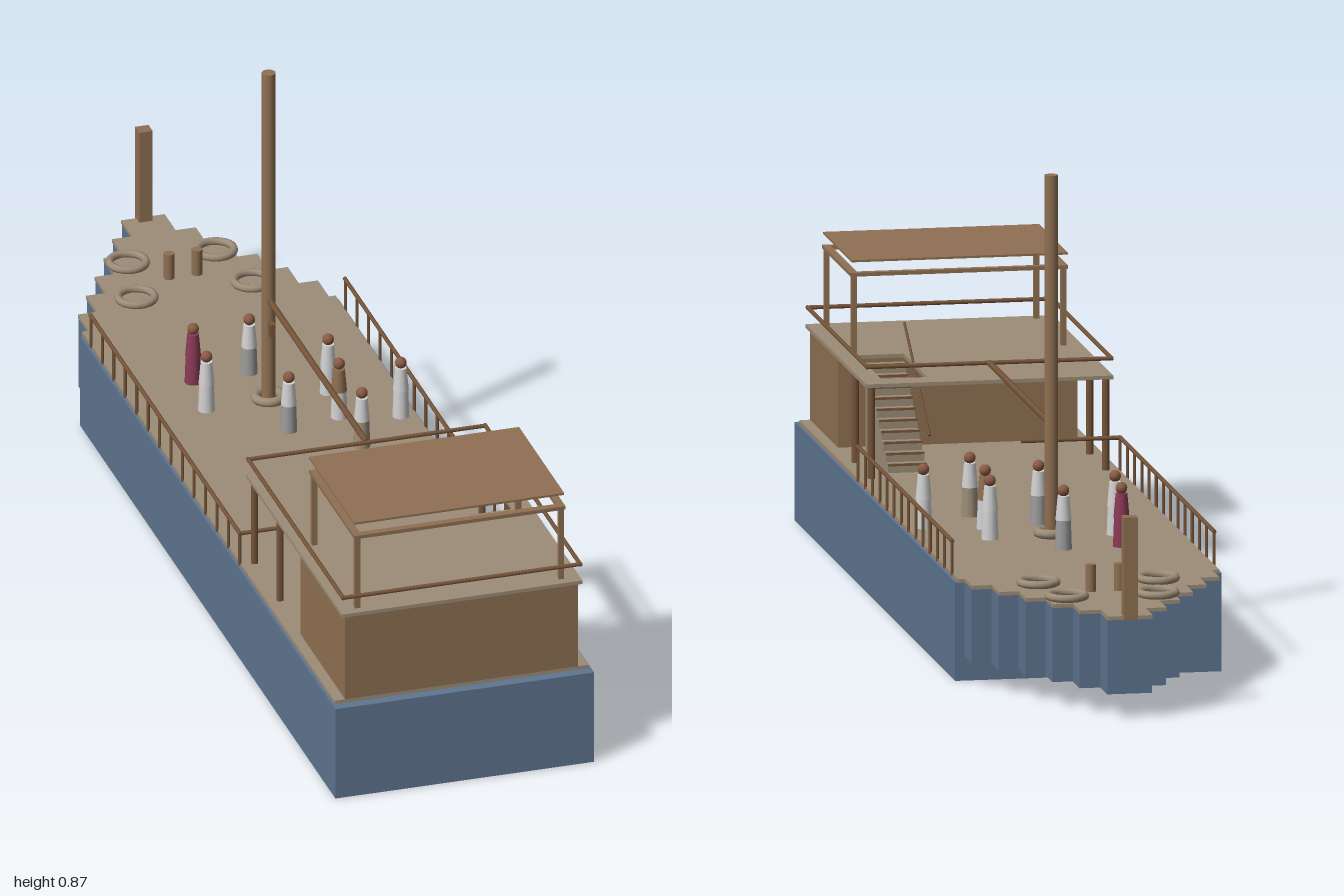
import * as THREE from 'three';

const mat = (name, color) => {
  const m = new THREE.MeshStandardMaterial({ color });
  m.name = name;
  return m;
};

export function createModel() {
  const root = new THREE.Group();
  root.name = 'boat';
  const hullBlue = mat('hull blue', 0x5f7590);
  const deckTan = mat('deck tan', 0x9d8d78);
  const wood = mat('wood brown', 0x8f7052);
  const railWood = mat('rail brown', 0x765539);
  const cloth = mat('pale cloth', 0xd2d2d2);
  const grey = mat('grey cloth', 0x9c9c9c);
  const maroon = mat('maroon cloth', 0x8c3a55);
  const skin = mat('skin', 0x8a5a44);

  const add = (name, geo, material, x, y, z, parent = root) => {
    const m = new THREE.Mesh(geo, material);
    m.name = name;
    m.position.set(x, y, z);
    parent.add(m);
    return m;
  };
  // Box given by its lower and upper limits on each axis
  const box = (name, material, [x0, x1], [y0, y1], [z0, z1], parent = root) =>
    add(name, new THREE.BoxGeometry(x1 - x0, y1 - y0, z1 - z0), material,
      (x0 + x1) / 2, (y0 + y1) / 2, (z0 + z1) / 2, parent);
  // Round bar between two points
  const bar = (name, material, r, a, b, sides = 8) => {
    const p = new THREE.Vector3(...a), q = new THREE.Vector3(...b);
    const d = q.clone().sub(p);
    const m = add(name, new THREE.CylinderGeometry(r, r, d.length(), sides), material,
      ...p.clone().add(q).multiplyScalar(0.5).toArray());
    m.quaternion.setFromUnitVectors(new THREE.Vector3(0, 1, 0), d.normalize());
    return m;
  };

  // Hull and main deck
  box('hull', hullBlue, [-0.25, 0.25], [0, 0.185], [-0.58, 1]);
  box('mainDeck', deckTan, [-0.245, 0.245], [0.185, 0.192], [-0.585, 0.98]);

  // Stepped bow narrowing to the stem
  const bowHalf = [0.232, 0.195, 0.157, 0.119, 0.081, 0.042];
  bowHalf.forEach((w, i) => {
    const z1 = -0.58 - i * 0.068, z0 = z1 - 0.068;
    box('bowStep', hullBlue, [-w, w], [0.045, 0.185], [z0, z1]);
    box('bowDeck', deckTan, [-w, w], [0.185, 0.192], [z0 - 0.005, z1 - 0.005]);
  });
  box('stemPost', wood, [-0.013, 0.013], [0.185, 0.378], [-1, -0.974]);

  // Cabin with its roof and the open frame ahead of it
  box('cabin', wood, [-0.225, 0.225], [0.192, 0.364], [0.705, 0.98]);
  const roofY = [0.364, 0.371];
  box('cabinRoof', deckTan, [-0.232, 0.232], roofY, [0.67, 0.985]);
  box('frameCrossStrip', deckTan, [-0.232, 0.232], roofY, [0.39, 0.44]);
  box('upperDeck', deckTan, [-0.232, 0.108], roofY, [0.44, 0.67]);
  box('frameSideStrip', deckTan, [0.195, 0.232], roofY, [0.44, 0.67]);
  for (const s of [-1, 1])
    for (const z of [0.402, 0.56])
      bar('framePost', railWood, 0.007, [s * 0.22, 0.19, z], [s * 0.22, 0.365, z]);

  // Upper deck railing
  for (const s of [-1, 1])
    bar('upperSideRail', railWood, 0.004, [s * 0.229, 0.403, 0.39], [s * 0.229, 0.403, 0.983]);
  for (const z of [0.393, 0.98])
    bar('upperCrossRail', railWood, 0.004, [-0.232, 0.403, z], [0.232, 0.403, z]);

  // Canopy: posts, beam frame and thin raised cover
  for (const s of [-1, 1]) {
    for (const z of [0.697, 0.963])
      box('canopyPost', wood, [s * 0.197 - 0.005, s * 0.197 + 0.005], [0.37, 0.517], [z - 0.005, z + 0.005]);
    box('canopySideBeam', wood, [s * 0.197 - 0.007, s * 0.197 + 0.007], [0.515, 0.522], [0.69, 0.97]);
  }
  for (const z of [0.697, 0.963])
    box('canopyCrossBeam', wood, [-0.204, 0.204], [0.515, 0.522], [z - 0.007, z + 0.007]);
  box('canopyCover', wood, [-0.203, 0.203], [0.543, 0.547], [0.685, 0.965]);

  // Stairway to the upper deck
  const steps = 10;
  for (let i = 0; i < steps; i++) {
    const z = 0.445 + i * 0.0225, y = 0.208 + i * 0.0165;
    box('stairStep', deckTan, [0.108, 0.18], [0.19, y], [z, z + 0.0225]);
    box('stairNosing', railWood, [0.108, 0.18], [y - 0.003, y + 0.001], [z - 0.003, z + 0.003]);
  }
  bar('stairHandrail', railWood, 0.0025, [0.107, 0.265, 0.42], [0.107, 0.43, 0.67], 6);

  // Side railings of the main deck
  for (const s of [-1, 1]) {
    bar('sideRail', railWood, 0.004, [s * 0.246, 0.253, 0.4], [s * 0.246, 0.253, -0.532]);
    for (let i = 0; i < 14; i++) {
      const z = 0.395 - i * 0.0709;
      bar('railPost', railWood, 0.003, [s * 0.246, 0.188, z], [s * 0.246, 0.253, z], 6);
    }
  }
  bar('railReturn', railWood, 0.004, [-0.246, 0.253, 0.395], [-0.06, 0.253, 0.395]);

  // Mast, boom and the rope coil at its foot
  bar('mast', wood, 0.013, [0, 0.186, -0.215], [0, 0.872, -0.215], 16);
  bar('boom', railWood, 0.006, [0, 0.403, -0.205], [0, 0.403, 0.39]);
  box('mastCleat', railWood, [-0.005, 0.005], [0.337, 0.362], [-0.203, -0.188]);
  const coil = (name, r, tube, x, z) => {
    const m = add(name, new THREE.TorusGeometry(r, tube, 8, 24), deckTan, x, 0.192 + tube, z);
    m.rotation.x = Math.PI / 2;
  };
  coil('mastCoil', 0.025, 0.009, 0, -0.215);

  // Foredeck coils and bollards
  for (const s of [-1, 1]) {
    coil('bowCoil', 0.034, 0.0075, s * 0.085, -0.815);
    coil('bowCoil', 0.034, 0.0075, s * 0.112, -0.675);
    bar('bollard', wood, 0.01, [s * 0.027, 0.19, -0.745], [s * 0.027, 0.243, -0.745], 12);
  }

  // Crew: x, z, torso material, leg material
  const crew = [
    [-0.11, -0.33, maroon, maroon], [0, -0.335, cloth, grey],
    [-0.12, -0.215, cloth, cloth], [0.115, -0.215, cloth, cloth],
    [0.105, -0.115, wood, cloth], [0, -0.09, cloth, grey],
    [0.215, -0.085, cloth, cloth], [0.11, 0.01, cloth, deckTan],
  ];
  crew.forEach(([x, z, top, legs]) => {
    const g = new THREE.Group();
    g.name = 'crewMember';
    g.position.set(x, 0.192, z);
    root.add(g);
    add('legs', new THREE.CylinderGeometry(0.014, 0.016, 0.055, 12), legs, 0, 0.0275, 0, g);
    add('torso', new THREE.CylinderGeometry(0.011, 0.015, 0.045, 12), top, 0, 0.0775, 0, g);
    add('head', new THREE.SphereGeometry(0.011, 12, 8), skin, 0, 0.11, 0, g);
  });

  return root;
}
